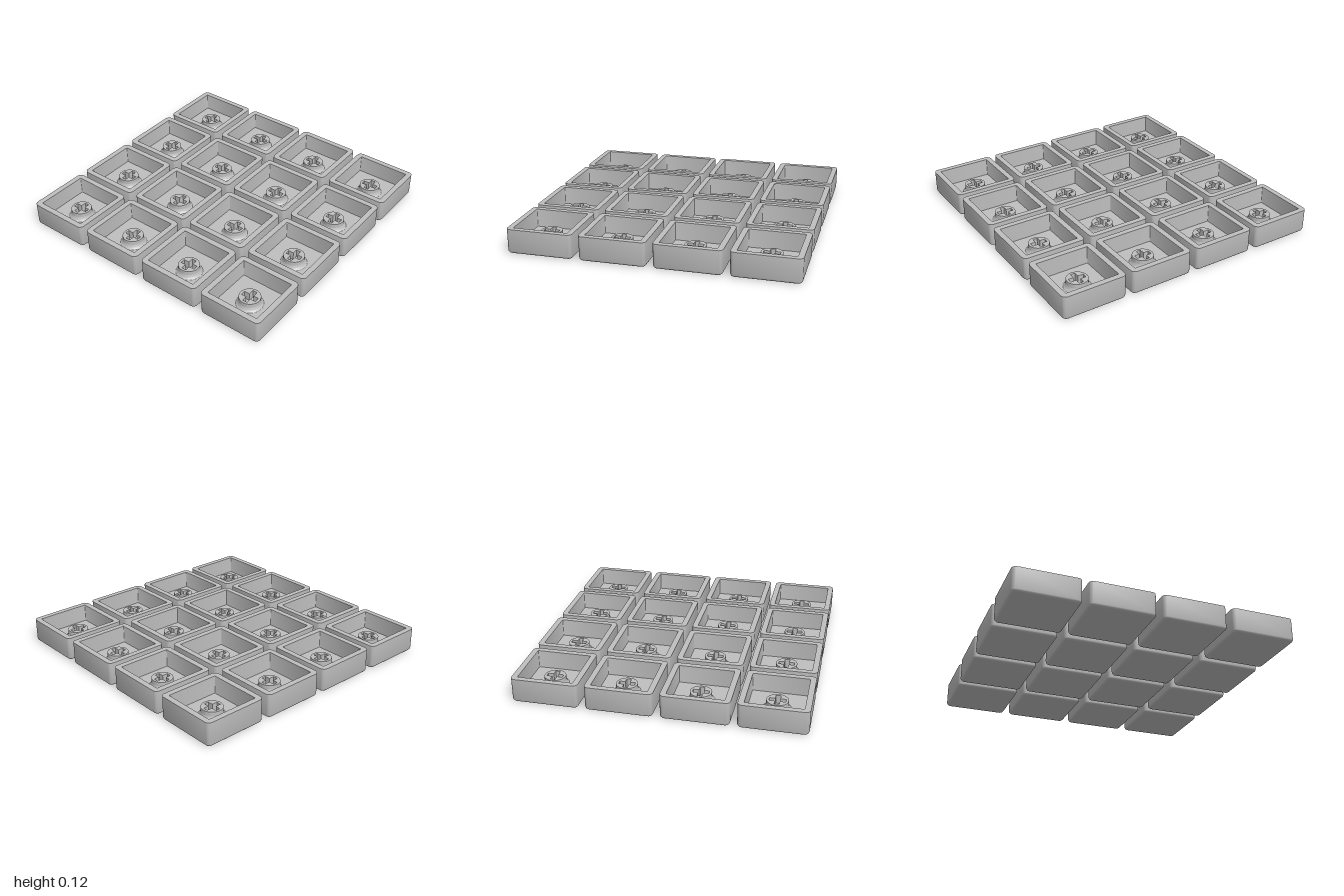
import * as THREE from 'three';
import { toCreasedNormals } from 'three/addons/utils/BufferGeometryUtils.js';

const PITCH = 0.365, HALF = 0.1665, CORNER = 0.024, FILLET = 0.018;
const HEIGHT = 0.125, FLOOR = 0.032, WALL = 0.0285, STEM_TOP = 0.075, STEM_R = 0.053;

// Rounded square ring at height y
function ring(half, radius, y, steps = 5) {
  const pts = [];
  for (let c = 0; c < 4; c++) {
    const mid = (c + 0.5) * Math.PI / 2;
    const cx = Math.sign(Math.cos(mid)) * (half - radius);
    const cz = Math.sign(Math.sin(mid)) * (half - radius);
    for (let s = 0; s <= steps; s++) {
      const a = (c + s / steps) * Math.PI / 2;
      pts.push([cx + radius * Math.cos(a), y, cz + radius * Math.sin(a)]);
    }
  }
  return pts;
}

// Hollow cap shell: rings from the underside centre, round the rim, to the inner floor
function shellGeometry() {
  const rings = [ring(0, 0, 0)];
  for (let i = 0; i <= 5; i++) {
    const a = i / 5 * Math.PI / 2;
    const inset = FILLET * (1 - Math.sin(a));
    rings.push(ring(HALF - inset, CORNER - inset, FILLET * (1 - Math.cos(a))));
  }
  rings.push(
    ring(HALF, CORNER, HEIGHT),
    ring(HALF - WALL, 0.003, HEIGHT),
    ring(HALF - WALL, 0.003, FLOOR),
    ring(0, 0, FLOOR)
  );
  const n = rings[0].length, index = [];
  for (let i = 0; i < rings.length - 1; i++) {
    for (let j = 0; j < n; j++) {
      const k = (j + 1) % n;
      const a = i * n + j, b = i * n + k, c = b + n, d = a + n;
      if (i < rings.length - 2) index.push(a, d, c);
      if (i > 0) index.push(a, c, b);
    }
  }
  const geo = new THREE.BufferGeometry();
  geo.setAttribute('position', new THREE.Float32BufferAttribute(rings.flat(2), 3));
  geo.setIndex(index);
  return toCreasedNormals(geo, 0.6);
}

// Round stem with a cross-shaped socket
function stemGeometry() {
  const shape = new THREE.Shape().absarc(0, 0, STEM_R, 0, Math.PI * 2, false);
  const l = 0.04, w = 0.012;
  const cross = [[l, w], [w, w], [w, l], [-w, l], [-w, w], [-l, w],
    [-l, -w], [-w, -w], [-w, -l], [w, -l], [w, -w], [l, -w]];
  shape.holes.push(new THREE.Path(cross.map(([x, y]) => new THREE.Vector2(x, y))));
  const geo = new THREE.ExtrudeGeometry(shape, {
    depth: STEM_TOP - FLOOR, bevelEnabled: false, curveSegments: 32
  });
  geo.rotateX(-Math.PI / 2).translate(0, FLOOR, 0);
  return toCreasedNormals(geo, 0.6);
}

// Flared foot where the stem meets the floor
function footGeometry() {
  const profile = [[0.067, 0], [0.061, 0.004], [0.056, 0.011], [STEM_R, 0.022]];
  return new THREE.LatheGeometry(
    profile.map(([r, y]) => new THREE.Vector2(r, FLOOR + y)), 32);
}

export function createModel() {
  const grey = new THREE.MeshStandardMaterial({ color: 0xbfbfbf });
  grey.name = 'grey plastic';
  const parts = { capShell: shellGeometry(), stem: stemGeometry(), stemFoot: footGeometry() };

  const model = new THREE.Group();
  model.name = 'keycapGrid';
  // Four by four upturned caps, turned to a diamond
  for (let row = 0; row < 4; row++) {
    for (let col = 0; col < 4; col++) {
      const cap = new THREE.Group();
      cap.name = `keycap_${row + 1}_${col + 1}`;
      for (const [name, geo] of Object.entries(parts)) {
        const mesh = new THREE.Mesh(geo, grey);
        mesh.name = name;
        cap.add(mesh);
      }
      cap.position.set((col - 1.5) * PITCH, 0, (row - 1.5) * PITCH);
      model.add(cap);
    }
  }
  model.rotation.y = Math.PI / 4;
  const root = new THREE.Group();
  root.name = 'model';
  root.add(model);
  return root;
}
